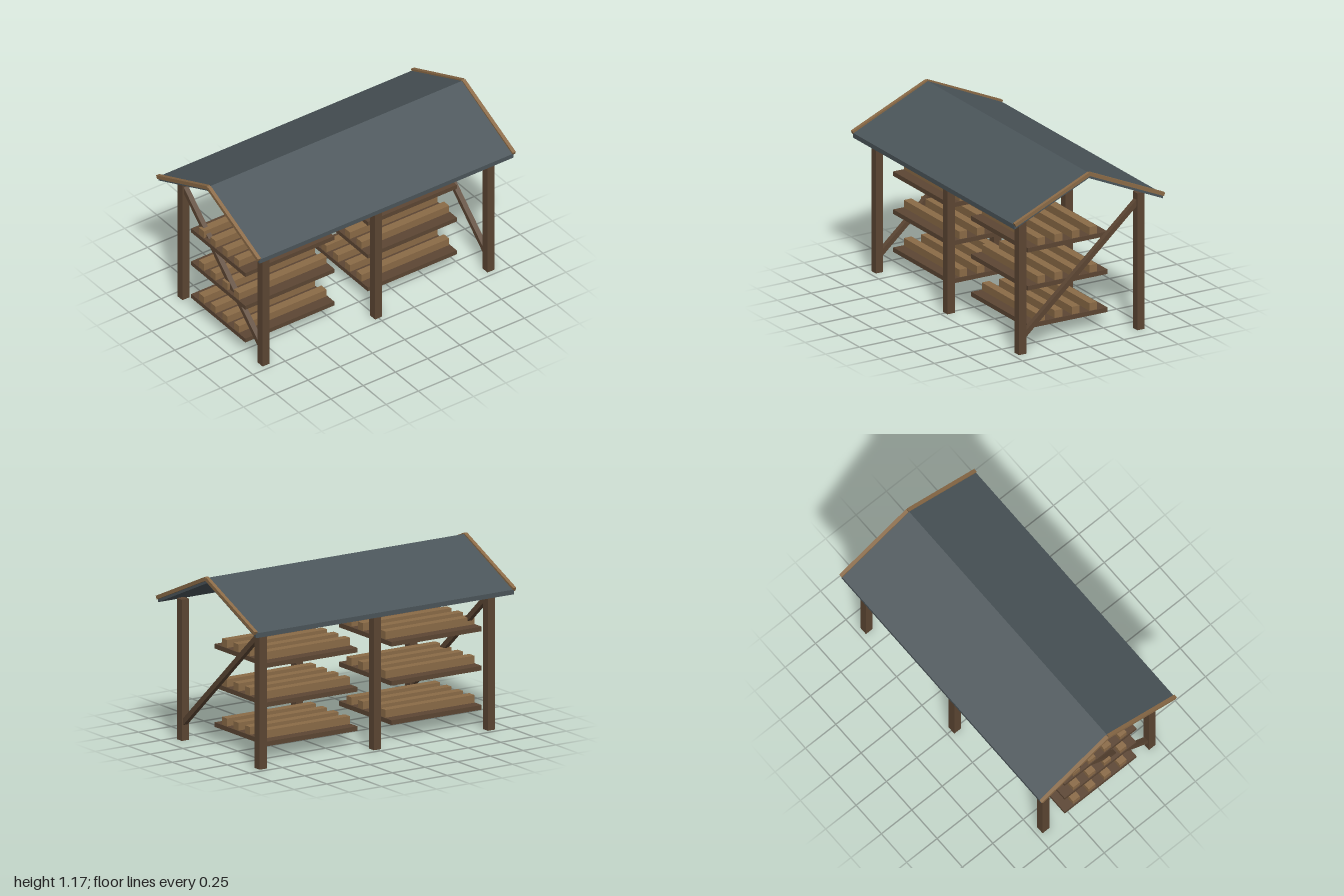
import * as THREE from 'three';

const mat = (name, color) => {
  const m = new THREE.MeshStandardMaterial({ color });
  m.name = name;
  return m;
};

export function createModel() {
  const darkWood = mat('dark wood', 0x5c4633);
  const lightWood = mat('light wood', 0x8b6b47);
  const slate = mat('slate', 0x4b555a);
  const model = new THREE.Group();
  model.name = 'openShelter';

  const add = (parent, name, geometry, material, x = 0, y = 0, z = 0) => {
    const mesh = new THREE.Mesh(geometry, material);
    mesh.name = name;
    mesh.position.set(x, y, z);
    parent.add(mesh);
    return mesh;
  };

  // Bar lying in the z-y plane between two points [z, y]
  const bar = (parent, name, material, x, a, b, width, thick) => {
    const dz = b[0] - a[0], dy = b[1] - a[1];
    const mesh = add(parent, name, new THREE.BoxGeometry(width, thick, Math.hypot(dz, dy)), material,
      x, (a[1] + b[1]) / 2, (a[0] + b[0]) / 2);
    mesh.rotation.x = -Math.atan2(dy, dz);
  };

  // Six posts in two rows
  const postGeometry = new THREE.BoxGeometry(0.055, 0.922, 0.055);
  for (const x of [-0.872, 0, 0.872])
    for (const z of [-0.4375, 0.4375]) add(model, 'post', postGeometry, darkWood, x, 0.461, z);

  // Diagonal brace at each end
  for (const x of [-0.872, 0.872])
    bar(model, 'brace', darkWood, x, [0.425, 0.112], [-0.425, 0.867], 0.034, 0.034);

  // Two stacks of three shelves, each with four slats
  const board = new THREE.BoxGeometry(0.69, 0.03, 0.59);
  const slat = new THREE.BoxGeometry(0.678, 0.051, 0.056);
  for (const x of [-0.568, 0.382])
    for (const y of [0.107, 0.363, 0.619]) {
      const shelf = new THREE.Group();
      shelf.name = 'shelf';
      shelf.position.set(x, y, 0);
      model.add(shelf);
      add(shelf, 'board', board, darkWood);
      for (let i = 0; i < 4; i++) add(shelf, 'slat', slat, lightWood, 0, 0.0405, (i - 1.5) * 0.128);
    }

  // Gable roof slab with vertical eave faces
  const profile = new THREE.Shape([
    [-0.55, 0.889], [0, 1.131], [0.55, 0.889], [0.55, 0.92], [0, 1.166], [-0.55, 0.92],
  ].map(([z, y]) => new THREE.Vector2(z, y)));
  const roof = new THREE.ExtrudeGeometry(profile, { depth: 1.97, bevelEnabled: false });
  roof.translate(0, 0, -0.985).rotateY(Math.PI / 2);
  add(model, 'roof', roof, slate);

  // Verge boards along the gable edges
  for (const x of [-0.988, 0.988])
    for (const s of [-1, 1])
      bar(model, 'vergeBoard', lightWood, x, [0, 1.162], [s * 0.551, 0.921], 0.024, 0.024);

  return model;
}
